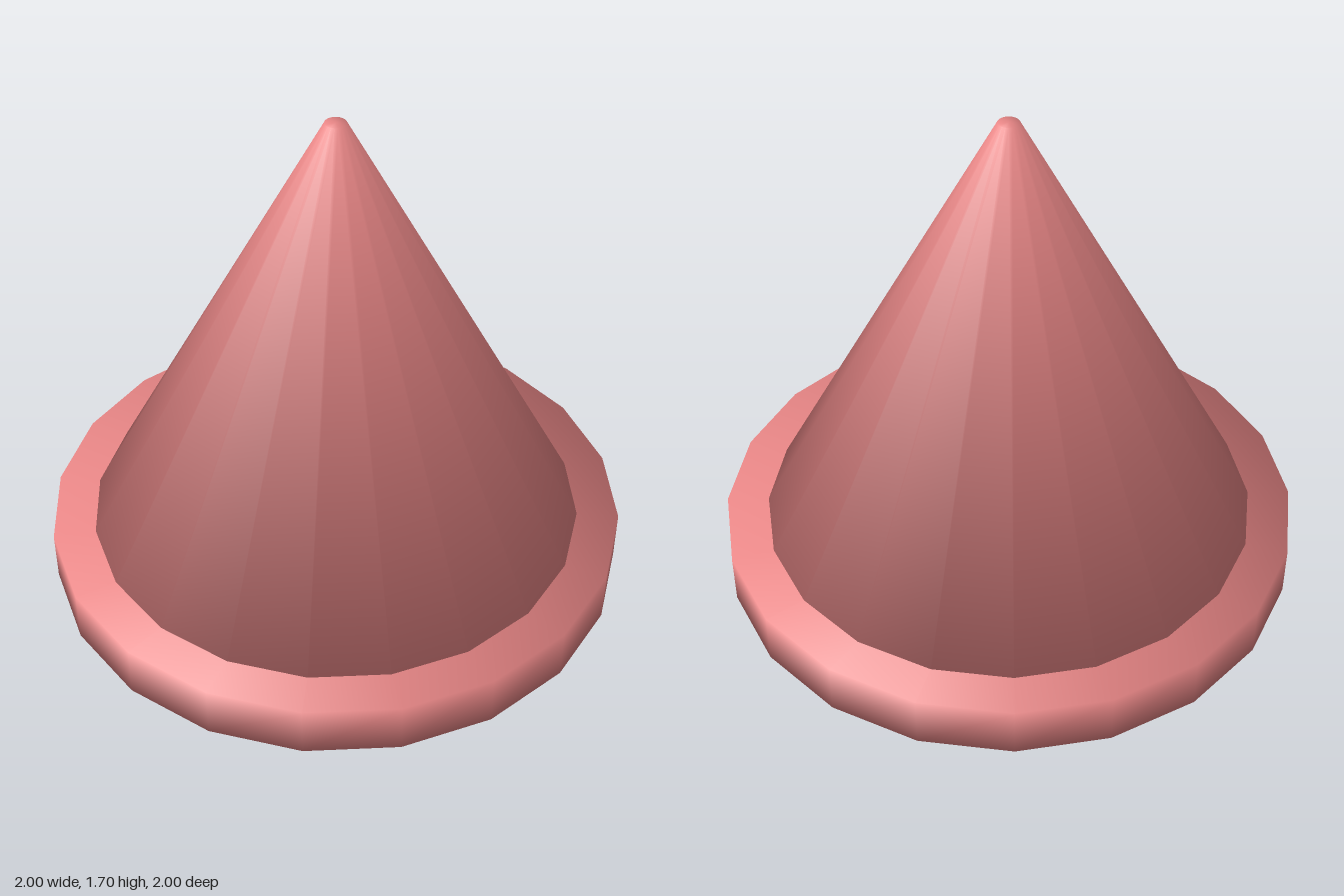
import * as THREE from 'three';

const SIDES = 20;
const material = new THREE.MeshStandardMaterial({ color: 0xe88686 });

// Closed round section from y0 to y1, with normals rounded over at both rims
function section(name, rBottom, rTop, y0, y1) {
  const h = y1 - y0;
  const geo = new THREE.CylinderGeometry(rTop, rBottom, h, SIDES);
  const pos = geo.attributes.position;
  const side = new THREE.Vector2(h, rBottom - rTop).normalize();
  const n = new THREE.Vector3();
  for (let i = 0; i < pos.count; i++) {
    const cap = Math.sign(pos.getY(i));
    n.set(pos.getX(i), 0, pos.getZ(i));
    if (n.length() > 1e-4) {
      n.normalize().multiplyScalar(side.x);
      n.y = side.y + cap;
    } else n.y = cap;
    n.normalize();
    geo.attributes.normal.setXYZ(i, n.x, n.y, n.z);
  }
  geo.translate(0, (y0 + y1) / 2, 0);
  const mesh = new THREE.Mesh(geo, material);
  mesh.name = name;
  return mesh;
}

export function createModel() {
  const model = new THREE.Group();
  model.name = 'cone';
  // Flat round foot
  model.add(section('baseDisc', 1, 1, 0, 0.18));
  // Tapered body with a small blunt tip, sunk into the foot
  model.add(section('coneBody', 0.93, 0.035, 0.04, 1.7));
  return model;
}
